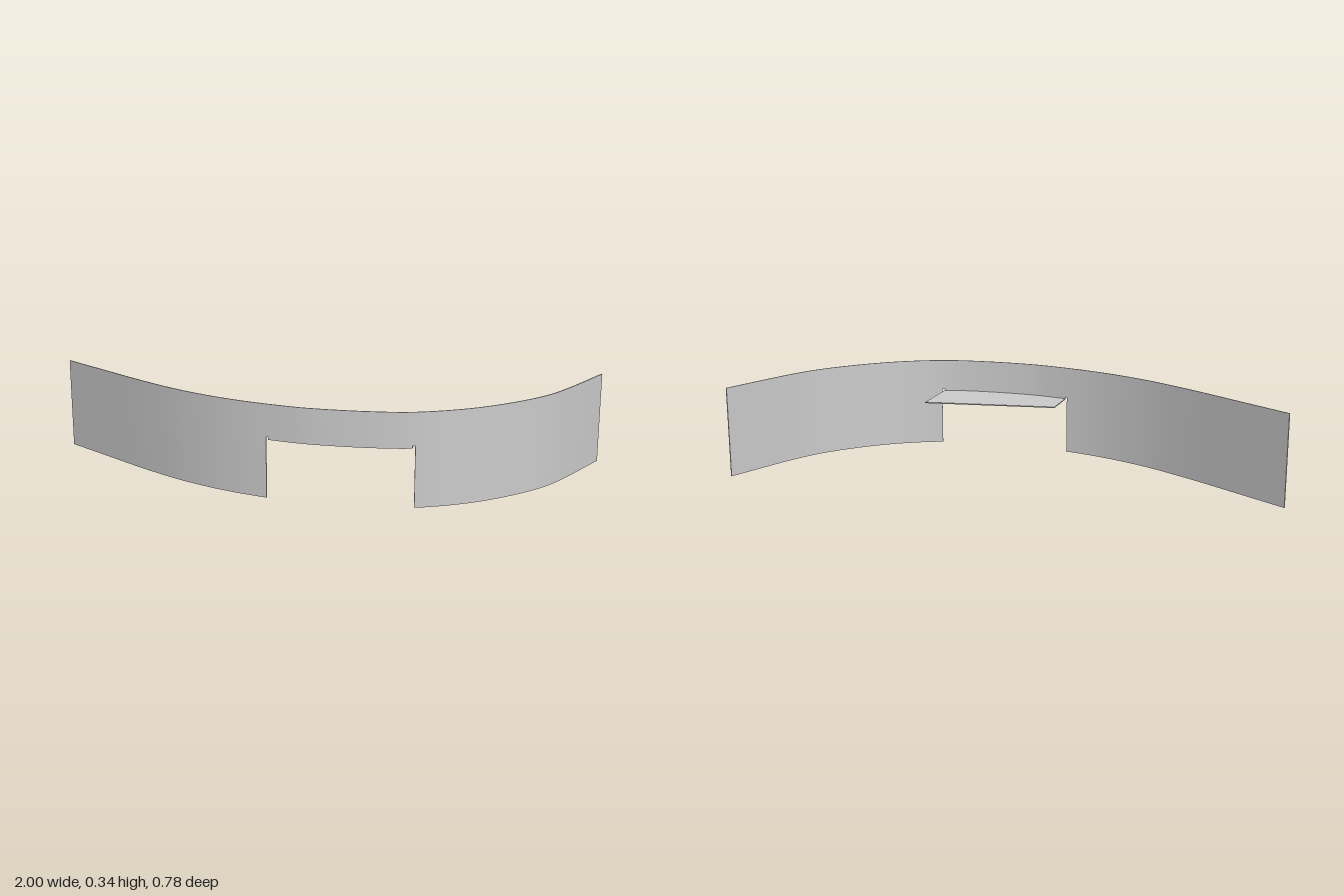
import * as THREE from 'three';
import { toCreasedNormals } from 'three/addons/utils/BufferGeometryUtils.js';

const HEIGHT = 0.34, THICK = 0.004, FLANGE_Y = 0.212;

// Plan outline of the bent sheet as (x, z)
const PLAN = [
  [-1, 0], [-0.8, 0.105], [-0.6, 0.209], [-0.4, 0.298], [-0.2, 0.357], [0, 0.386], [0.1, 0.39],
  [0.3, 0.37], [0.45, 0.332], [0.6, 0.247], [0.7, 0.162], [0.8, 0.05], [0.86, -0.04],
  [0.91, -0.15], [1, -0.39],
];
const plan = new THREE.CatmullRomCurve3(PLAN.map(([x, z]) => new THREE.Vector3(x, 0, z)), false, 'centripetal');
const samples = plan.getPoints(420);

function zAt(x) {
  const i = Math.max(1, samples.findIndex((p) => p.x >= x - 1e-9));
  const a = samples[i - 1], b = samples[i];
  return a.z + (b.z - a.z) * (x - a.x) / (b.x - a.x);
}

// Points along the sheet between two x positions, moved inward by inset
function planPoints(x0, x1, inset) {
  const n = Math.max(2, Math.ceil((x1 - x0) / 0.02));
  return Array.from({ length: n + 1 }, (_, i) => {
    const x = x0 + (x1 - x0) * i / n;
    const e = 0.005, a = Math.max(-1, x - e), b = Math.min(1, x + e);
    const slope = (zAt(b) - zAt(a)) / (b - a), len = Math.hypot(1, slope);
    return new THREE.Vector2(x + inset * slope / len, -(zAt(x) - inset / len));
  });
}

// Raises a plan shape (x, -z) from y upward
function raise(shape, y, height) {
  const g = new THREE.ExtrudeGeometry(shape, { depth: height, bevelEnabled: false, curveSegments: 24 });
  g.rotateX(-Math.PI / 2).translate(0, y, 0);
  return toCreasedNormals(g, 0.5);
}

export function createModel() {
  const model = new THREE.Group();
  const material = new THREE.MeshStandardMaterial({ color: 0xcccccc, side: THREE.DoubleSide });
  const add = (name, geometry) => {
    const mesh = new THREE.Mesh(geometry, material);
    mesh.name = name;
    model.add(mesh);
  };

  // Curved band: full height at both ends, cut away in the middle, with small relief slots
  const sections = [
    ['rightBand', -1, -0.062, 0],
    ['rightReliefSlot', -0.062, -0.054, 0.222],
    ['bridgeBand', -0.054, 0.445, FLANGE_Y],
    ['leftReliefSlot', 0.445, 0.455, 0.222],
    ['leftBand', 0.455, 1, 0],
  ];
  for (const [name, x0, x1, bottom] of sections) {
    const outline = [...planPoints(x0, x1, 0), ...planPoints(x0, x1, THICK).reverse()];
    add(name, raise(new THREE.Shape(outline), bottom, HEIGHT - bottom));
  }

  // Flange folded inward from the cut-out, with two screw holes
  const flange = new THREE.Shape([
    ...planPoints(-0.054, 0.445, 0.001),
    new THREE.Vector2(0.436, -0.125),
    new THREE.Vector2(-0.06, -0.237),
  ]);
  for (const [x, z] of [[0.077, 0.27], [0.297, 0.226]]) {
    flange.holes.push(new THREE.Path().absarc(x, -z, 0.032, 0, Math.PI * 2, true));
  }
  add('mountingFlange', raise(flange, FLANGE_Y, THICK));

  return model;
}
